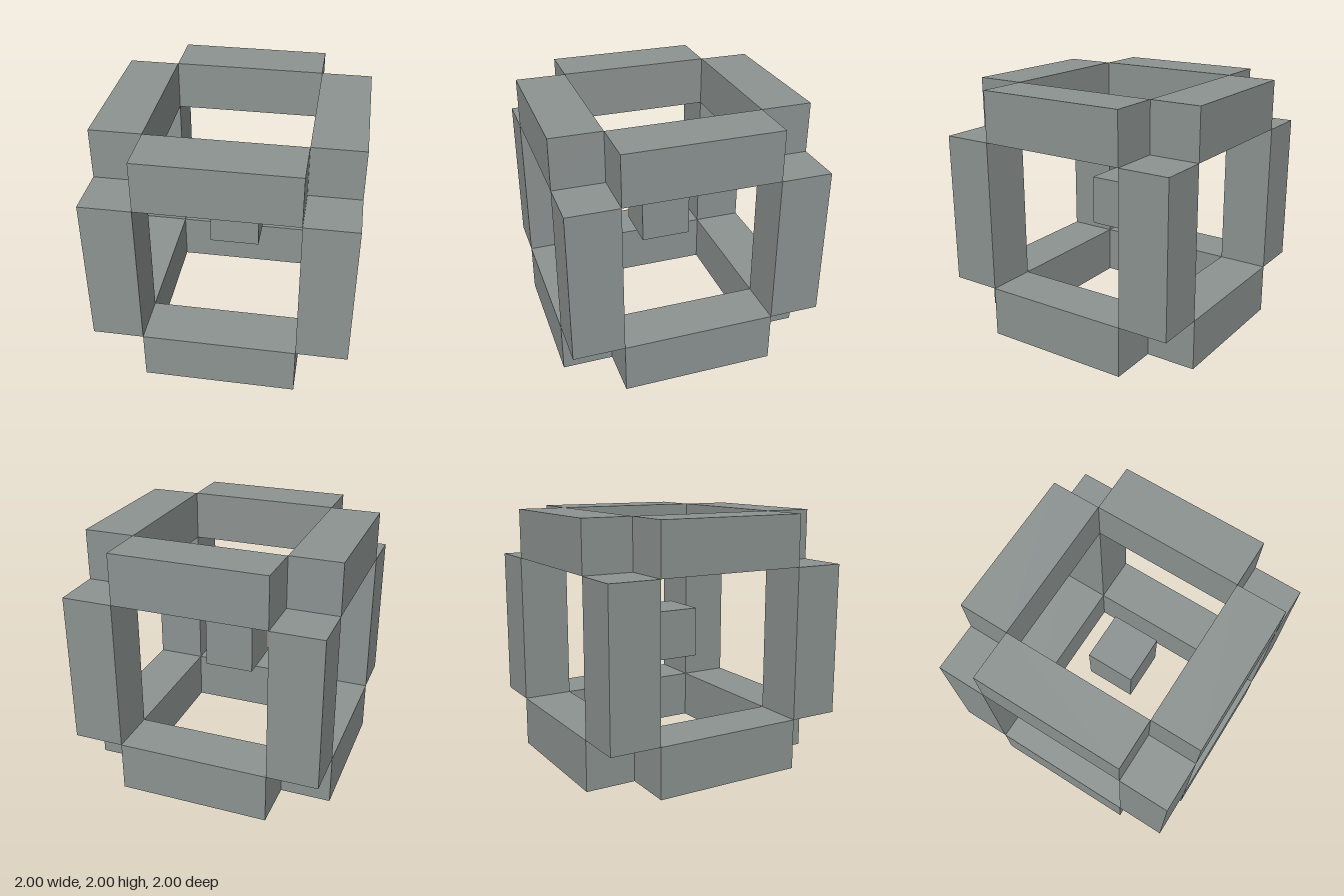
import * as THREE from 'three';

// Open cube frame: twelve edge bars with the corner cubes left out, and a small cube floating in the middle.
const BAR = 0.4, LENGTH = 1.2, OFFSET = 0.8, CENTER_Y = 1;

export function createModel() {
  const model = new THREE.Group();
  model.name = 'openCubeFrame';
  const material = new THREE.MeshStandardMaterial({ color: 0x8c9391, flatShading: true });

  function addBox(name, size, position) {
    const mesh = new THREE.Mesh(new THREE.BoxGeometry(...size), material);
    mesh.name = name;
    mesh.position.set(position[0], position[1] + CENTER_Y, position[2]);
    model.add(mesh);
  }

  // Four bars along each axis
  ['crossBar', 'uprightBar', 'depthBar'].forEach((name, axis) => {
    for (const a of [-OFFSET, OFFSET]) {
      for (const b of [-OFFSET, OFFSET]) {
        const size = [BAR, BAR, BAR];
        const position = [0, 0, 0];
        size[axis] = LENGTH;
        position[(axis + 1) % 3] = a;
        position[(axis + 2) % 3] = b;
        addBox(name, size, position);
      }
    }
  });

  // Floating core
  addBox('centerCube', [BAR, BAR, BAR], [0, 0, 0]);

  return model;
}
